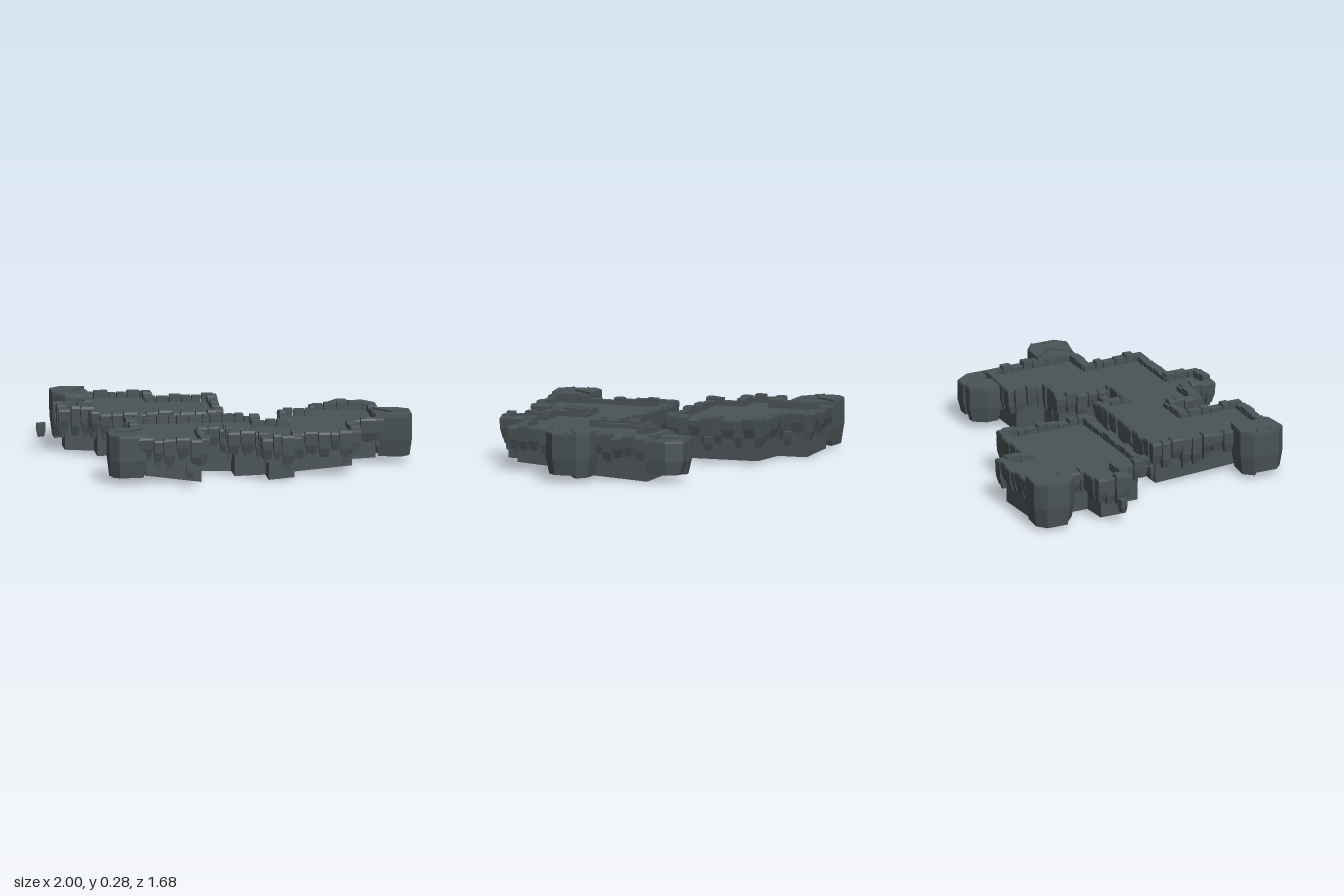
import * as THREE from 'three';
import { mergeGeometries } from 'three/addons/utils/BufferGeometryUtils.js';

let seed = 7;
const rand = (a, b) => {
  seed = (seed * 16807) % 2147483647;
  return a + (b - a) * (seed / 2147483647);
};

// Lofts an (x, z) outline through levels [height, scale]; height may be a function of x and z
function prism(outline, levels, anchor) {
  let pts = outline.map(([x, z]) => new THREE.Vector2(x, z));
  if (THREE.ShapeUtils.area(pts) < 0) pts.reverse();
  const c = anchor
    ? new THREE.Vector2(...anchor)
    : pts.reduce((s, p) => s.add(p), new THREE.Vector2()).divideScalar(pts.length);
  const rings = levels.map(([y, s]) => pts.map(p => {
    const x = c.x + (p.x - c.x) * s, z = c.y + (p.y - c.y) * s;
    return [x, typeof y === 'function' ? y(x, z) : y, z];
  }));
  const pos = [];
  const tri = (...v) => v.forEach(p => pos.push(...p));
  const top = rings[0], bottom = rings[rings.length - 1];
  for (const [a, b, d] of THREE.ShapeUtils.triangulateShape(pts, [])) {
    tri(top[a], top[d], top[b]);
    tri(bottom[a], bottom[b], bottom[d]);
  }
  for (let k = 0; k + 1 < rings.length; k++) {
    for (let i = 0; i < pts.length; i++) {
      const j = (i + 1) % pts.length, t = rings[k], b = rings[k + 1];
      tri(t[i], t[j], b[j]);
      tri(t[i], b[j], b[i]);
    }
  }
  const g = new THREE.BufferGeometry();
  g.setAttribute('position', new THREE.Float32BufferAttribute(pos, 3));
  g.computeVertexNormals();
  return g;
}

// Row of overhanging tapered stones along every edge of an outline
function edgeStones(outline, depths) {
  const stones = [], n = outline.length;
  const dir = i => {
    const [a, b] = [outline[i % n], outline[(i + 1) % n]];
    const l = Math.hypot(b[0] - a[0], b[1] - a[1]);
    return [(b[0] - a[0]) / l, (b[1] - a[1]) / l, l];
  };
  for (let i = 0; i < n; i++) {
    const [ux, uz, len] = dir(i), [vx, vz] = dir(i + 1), p = outline[i];
    const depth = depths[i] ?? 0.045;
    const convex = ux * vz - uz * vx > 0;
    const end = len + (convex ? depth * 0.9 : -0.01);
    const count = Math.max(1, Math.round(end / 0.063));
    const cuts = Array.from({ length: count + 1 }, (_, k) =>
      (end * k) / count + (k > 0 && k < count ? rand(-0.012, 0.012) : 0));
    const at = (t, o) => [p[0] + ux * t + uz * o, p[1] + uz * t - ux * o];
    for (let k = 0; k < count; k++) {
      const a = cuts[k] + 0.002, b = cuts[k + 1] - 0.002, mid = (a + b) / 2;
      const o = depth + rand(-0.008, 0.008);
      const h = rand(0.238, 0.262), low = rand(0.09, 0.15);
      stones.push(prism(
        [at(a, -0.004), at(b, -0.004), at(b, o), at(a, o + rand(-0.004, 0.004))],
        [[h, 0.94], [h - 0.012, 1], [low + 0.05, 0.93], [low, 0.65]], at(mid, -0.004)));
      // Narrow shard hanging below some of the stones
      if (rand(0, 1) < 0.45) {
        const w = (b - a) * 0.3;
        stones.push(prism(
          [at(mid - w, -0.004), at(mid + w, -0.004), at(mid + w, o * 0.6), at(mid - w, o * 0.6)],
          [[low + 0.06, 1], [low - rand(0.015, 0.04), 0.75]], at(mid, -0.004)));
      }
    }
  }
  return mergeGeometries(stones);
}

export function createModel() {
  const model = new THREE.Group();
  const slate = new THREE.MeshStandardMaterial({ color: 0x4a5356, flatShading: true });
  slate.name = 'slate';
  const add = (name, geometry) => {
    const mesh = new THREE.Mesh(geometry, slate);
    mesh.name = name;
    model.add(mesh);
  };
  const clamp = v => THREE.MathUtils.clamp(v, 0, 1);

  // Floor outlines (x, z)
  const rear = [
    [-0.69, -0.785], [-0.375, -0.785], [-0.375, -0.62], [-0.04, -0.62], [-0.04, -0.145],
    [-0.69, -0.145], [-0.69, -0.315], [-0.85, -0.315], [-0.85, -0.45], [-0.69, -0.45],
  ];
  const front = [
    [-0.515, 0.055], [0.125, 0.055], [0.125, 0.225], [0.325, 0.225], [0.325, -0.11],
    [0.5, -0.11], [0.5, -0.28], [0.8, -0.28], [0.8, 0.2], [0.635, 0.2],
    [0.635, 0.53], [0.3, 0.53], [0.3, 0.7], [0.16, 0.7], [0.16, 0.53],
    [-0.01, 0.53], [-0.01, 0.36], [-0.21, 0.36], [-0.21, 0.7], [-0.515, 0.7],
  ];
  // Undersides rise gently towards the outer corners
  const rearBase = x => 0.05 * Math.max(0, Math.abs(x + 0.45) - 0.1);
  const frontBase = (x, z) => 0.09 * Math.max(0, x - 0.1) * clamp((z + 0.1) / 0.6)
    + 0.13 * Math.max(0, -x - 0.2) * clamp(z / 0.7);
  const floorTop = 0.215;
  add('rearFloor', prism(rear, [[floorTop, 1], [rearBase, 1]]));
  add('frontFloor', prism(front, [[floorTop, 1], [frontBase, 1]]));
  add('rearEdgeStones', edgeStones(rear, {}));
  add('frontEdgeStones', edgeStones(front, { 2: 0.035, 3: 0.035, 4: 0.018, 5: 0.018 }));

  // Large corner boulders, each cracked into pieces that meet at one point
  const boulder = (name, outline, crack, starts, base) => {
    const n = outline.length;
    const pieces = starts.map((s, k) => {
      const e = k + 1 < starts.length ? starts[k + 1] : starts[0] + n;
      const part = [crack];
      for (let i = s; i <= e; i++) part.push(outline[i % n]);
      const h = 0.275 - k * 0.005;
      return prism(part, [[h, 0.985], [h - 0.015, 1], [0.13, 0.99], [base + k * 0.015, 0.87]], crack);
    });
    add(name, mergeGeometries(pieces));
  };
  boulder('rearBoulder', [
    [-0.69, -0.83], [-0.825, -0.845], [-0.885, -0.795], [-0.885, -0.655],
    [-0.82, -0.595], [-0.67, -0.59],
  ], [-0.77, -0.71], [0, 3, 5], 0.02);
  boulder('frontBoulder', [
    [-0.515, 0.515], [-0.66, 0.5], [-0.715, 0.56], [-0.715, 0.71],
    [-0.665, 0.757], [-0.515, 0.74],
  ], [-0.61, 0.635], [0, 2, 5], 0.02);
  boulder('leftBoulder', [
    [0.8, 0], [0.93, 0.005], [1, 0.06], [1, 0.2], [0.945, 0.255], [0.8, 0.22],
  ], [0.895, 0.13], [0, 2, 5], 0.025);

  // Split outcrop behind the rear arm
  const outcrop = [
    [[0.6, -0.32], [0.6, -0.41], [0.655, -0.49], [0.705, -0.49], [0.73, -0.31], [0.7, -0.275]],
    [[0.725, -0.49], [0.8, -0.49], [0.86, -0.405], [0.86, -0.28], [0.79, -0.265], [0.765, -0.32]],
  ];
  add('splitOutcrop', mergeGeometries(outcrop.map((o, k) =>
    prism(o, [[0.24 - k * 0.008, 0.97], [0.22, 1], [0.12, 0.98], [0.035 + k * 0.01, 0.8]]))));

  // Pebbles lying on the boulders
  const pebbles = [[-0.87, -0.71], [-0.74, -0.65], [-0.68, 0.67], [-0.69, 0.59], [0.97, 0.13], [0.95, 0.05]]
    .map(([x, z]) => new THREE.BoxGeometry(0.012, 0.014, 0.01).translate(x, 0.272, z));
  add('pebbles', mergeGeometries(pebbles));

  // Small stones floating around the platforms: x, z, width, depth
  const floating = [
    [-0.975, -0.38, 0.05, 0.036], [0.077, -0.38, 0.05, 0.036], [-0.26, -0.715, 0.05, 0.036],
    [-0.617, -0.025, 0.036, 0.024], [0.223, 0.105, 0.046, 0.034], [-0.28, 0.82, 0.05, 0.036],
  ];
  floating.forEach(([x, z, w, d], i) => {
    const y = i === 5 ? 0.118 : 0.155;
    const quad = [[-1, -1], [1, -1], [1, 1], [-1, 1]].map(([a, b]) => [x + a * w / 2, z + b * d / 2]);
    add('floatingStone', prism(quad, [[y, 1], [y - 0.04, 0.97], [y - 0.075, 0.65]]));
  });
  return model;
}
